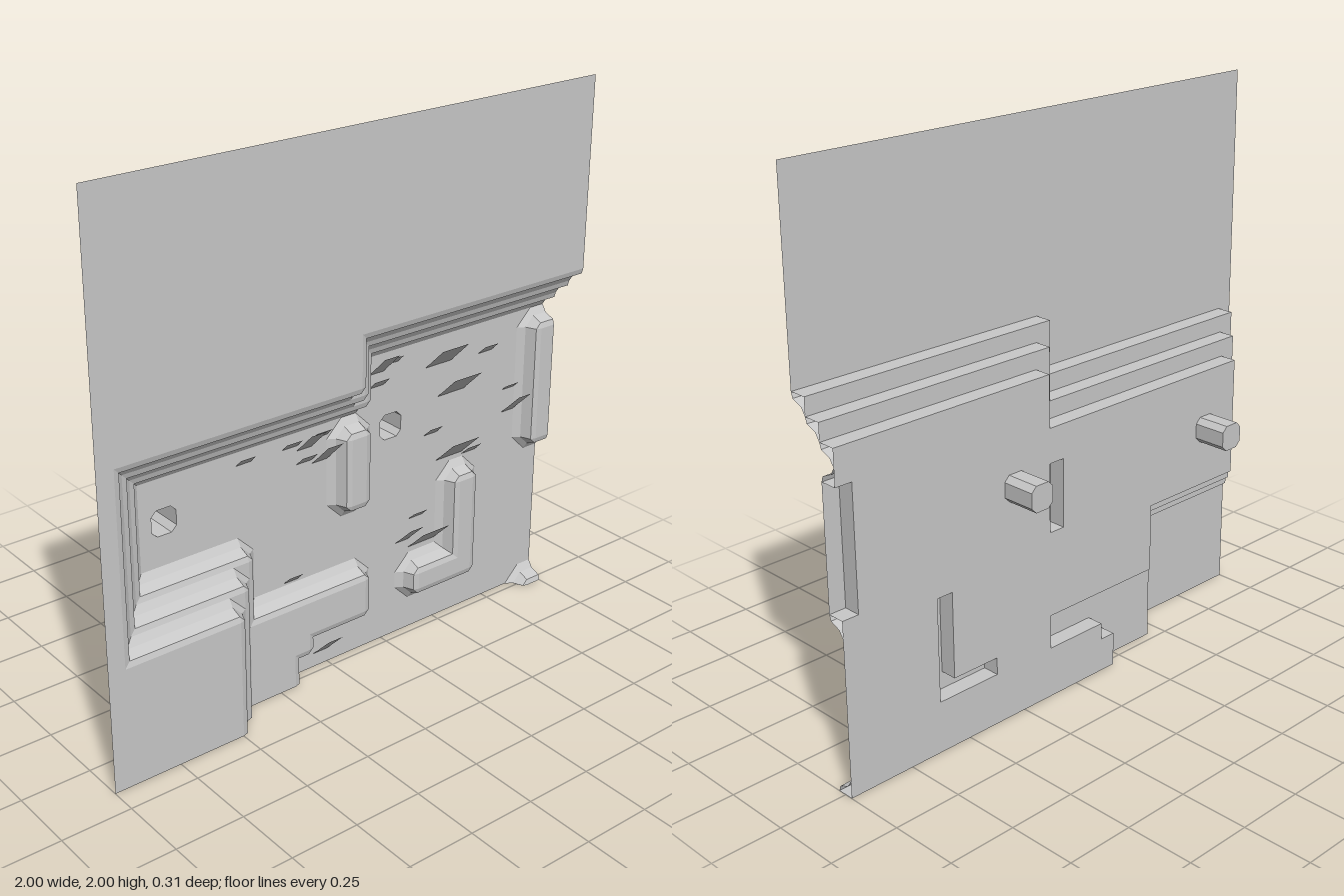
import * as THREE from 'three';

const U = 0.0625; // one grid cell; every terrace drops by one cell
const LEVEL = [2.5 * U, 1.5 * U, 0.5 * U, -0.5 * U]; // panel, two ledges, floor

const stone = new THREE.MeshStandardMaterial({ color: 0xc8c8c8, side: THREE.DoubleSide });
stone.name = 'grey stone';

// Wall section: [distance out from the wall line, height as a share of one cell]
const PROFILE = [[0, 0], [0, 1], [0.02, 0.9], [0.036, 0.28], [U, 0]];

// Terrace outlines, with the lower ground on the left of travel
const RIMS = [
  [[1, 1.3125], [0, 1.3125], [0, 1.125], [-0.9375, 1.125], [-0.9375, 0.4375], [-0.5, 0.4375], [-0.5, 0]],
  [[1, 1.25], [0.0625, 1.25], [0.0625, 1.0625], [-0.875, 1.0625], [-0.875, 0.5], [-0.4375, 0.5], [-0.4375, 0]],
  [[1, 1.1875], [0.125, 1.1875], [0.125, 1], [-0.8125, 1], [-0.8125, 0.5625], [-0.375, 0.5625],
    [-0.375, 0.3125], [0.125, 0.3125], [0.125, 0.1875], [-0.125, 0.1875], [-0.125, 0.125], [-0.1875, 0.125], [-0.1875, 0]],
];
const BAR = [[0.0625, 0.625], [0.0625, 0.875], [0.125, 0.875], [0.125, 0.625]];
const ELBOW = [[0.375, 0.1875], [0.375, 0.25], [0.5625, 0.25], [0.5625, 0.5625], [0.625, 0.5625], [0.625, 0.1875]];
const EDGE = [[1, 0.625], [0.9375, 0.625], [0.9375, 1.0625], [1, 1.0625]];
const CORNER = [[0.9375, -0.0005], [0.9375, 0], [1, 0]];
const PITS = [[-0.65625, 0.78125], [0.28125, 0.84375]];

// Tilted plates: x0, x1, y0, y1
const PLATES = [
  [0.18, 0.245, 1.06, 1.145], [0.245, 0.31, 1.08, 1.11], [0.18, 0.245, 1.01, 1.045], [0.435, 0.555, 1.02, 1.11],
  [0.495, 0.62, 0.895, 0.985], [0.685, 0.75, 1.01, 1.045], [0.435, 0.495, 0.76, 0.795], [0.495, 0.62, 0.645, 0.735],
  [0.62, 0.685, 0.635, 0.67], [0.81, 0.87, 0.745, 0.835], [0.81, 0.87, 0.835, 0.855], [-0.375, -0.315, 0.89, 0.92],
  [-0.19, -0.125, 0.89, 0.92], [-0.13, -0.065, 0.87, 0.955], [-0.13, -0.065, 0.82, 0.855], [-0.065, 0, 0.805, 0.895],
  [-0.065, 0, 0.895, 0.925], [-0.19, -0.13, 0.385, 0.42], [0.31, 0.37, 0.37, 0.455], [0.37, 0.435, 0.45, 0.48],
  [0.37, 0.495, 0.335, 0.42], [-0.065, 0, 0.055, 0.145],
];

const toVectors = (pts) => pts.map(([x, y]) => new THREE.Vector2(x, y));

// Eight-sided outline of a pit
function pitOutline([cx, cy]) {
  const r = 0.047, c = 0.027;
  return [[r, -c], [r, c], [c, r], [-c, r], [-r, c], [-r, -c], [-c, -r], [c, -r]].map(([x, y]) => [cx + x, cy + y]);
}

// Flat sheet at depth z, with optional holes
function sheet(pts, z, holes = []) {
  const shape = new THREE.Shape(toVectors(pts));
  holes.forEach((h) => shape.holes.push(new THREE.Path(toVectors(h))));
  return new THREE.ShapeGeometry(shape).translate(0, 0, z);
}

// Flat-shaded strip through columns of points
function strip(columns, closed) {
  const pos = [];
  const n = columns.length;
  for (let i = 0; i < (closed ? n : n - 1); i++) {
    const p = columns[i], q = columns[(i + 1) % n];
    for (let r = 0; r + 1 < p.length; r++) {
      pos.push(...p[r], ...q[r], ...p[r + 1], ...q[r], ...q[r + 1], ...p[r + 1]);
    }
  }
  const g = new THREE.BufferGeometry();
  g.setAttribute('position', new THREE.Float32BufferAttribute(pos, 3));
  g.computeVertexNormals();
  return g;
}

// Bevelled wall along a path: outer corners are chamfered, inner ones mitred
function wall(pts, base, closed = false) {
  const v = toVectors(pts), n = v.length;
  const normal = (i) => {
    const d = v[(i + 1) % n].clone().sub(v[i]).normalize();
    return new THREE.Vector2(-d.y, d.x);
  };
  const columns = [];
  const add = (p, o) => columns.push(PROFILE.map(([d, h]) => [p.x + o.x * d, p.y + o.y * d, base + h * U]));
  v.forEach((p, i) => {
    if (!closed && i === 0) return add(p, normal(0));
    if (!closed && i === n - 1) return add(p, normal(n - 2));
    const a = normal((i + n - 1) % n), b = normal(i);
    if (a.cross(b) > 0) {
      add(p, a.clone().add(b));
    } else {
      add(p, a);
      add(p, b);
    }
  });
  return strip(columns, closed);
}

export function createModel() {
  const model = new THREE.Group();
  const add = (name, geometry) => {
    const mesh = new THREE.Mesh(geometry, stone);
    mesh.name = name;
    model.add(mesh);
  };

  // Panel, ledges and floor
  const pits = PITS.map(pitOutline);
  add('panel', sheet([[-1, 0], [-1, 2], [1, 2], ...RIMS[0]], LEVEL[0]));
  add('upperLedge', sheet([...RIMS[0], ...[...RIMS[1]].reverse()], LEVEL[1]));
  add('lowerLedge', sheet([...RIMS[1], ...[...RIMS[2]].reverse()], LEVEL[2]));
  add('floor', sheet([...RIMS[2], [1, 0], ...EDGE], LEVEL[3], [BAR, ELBOW, ...pits]));

  // Stepped walls around the recess
  RIMS.forEach((rim, i) => add('terraceWall' + (i + 1), wall(rim, LEVEL[i + 1])));

  // Raised blocks on the floor
  [['bar', BAR, true], ['elbow', ELBOW, true], ['edgeBlock', EDGE, false]].forEach(([name, pts, closed]) => {
    add(name + 'Top', sheet(pts, LEVEL[2]));
    add(name + 'Wall', wall(pts, LEVEL[3], closed));
  });
  add('cornerWall', wall(CORNER, LEVEL[3]));

  // Pits that stand out as posts at the back
  pits.forEach((pts) => {
    const end = -LEVEL[0];
    add('pitWall', strip(pts.map(([x, y]) => [[x, y, end], [x, y, LEVEL[3]]]), true));
    add('pitEnd', sheet(pts, end));
  });

  // Plates leaning forward from the floor
  PLATES.forEach(([x0, x1, y0, y1]) => {
    const z0 = LEVEL[3] + 0.002, z1 = z0 + (y1 - y0);
    add('tiltedPlate', strip([[[x0, y0, z0], [x0, y1, z1]], [[x1, y0, z0], [x1, y1, z1]]], false));
  });
  return model;
}
